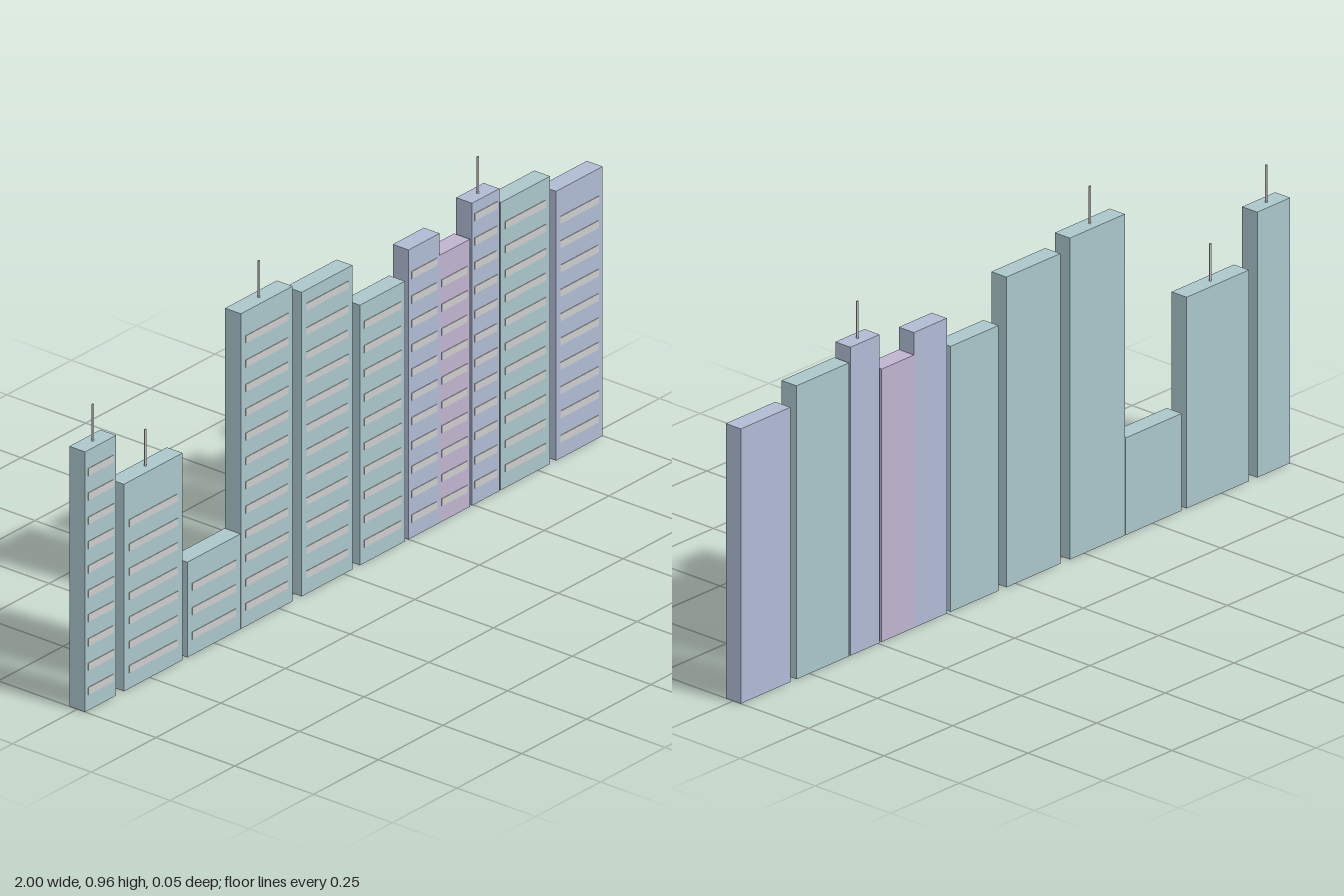
import * as THREE from 'three';

const TEAL = 0xaac6ca, BLUE = 0xb0bbd4, MAUVE = 0xbfb4d0;
const DEPTH = 0.05, FLOOR = 0.0664;

// left edge, right edge, height, window rows, colour, has spire
const TOWERS = [
  [-1.0, -0.88, 0.71, 10, TEAL, true],
  [-0.85, -0.623, 0.565, 7, TEAL, true],
  [-0.605, -0.4, 0.26, 3, TEAL, false],
  [-0.398, -0.198, 0.86, 12, TEAL, true],
  [-0.163, 0.033, 0.83, 12, TEAL, false],
  [0.062, 0.236, 0.71, 10, TEAL, false],
  [0.25, 0.37, 0.79, 11, BLUE, false],
  [0.367, 0.487, 0.73, 10, MAUVE, false],
  [0.495, 0.601, 0.825, 12, BLUE, true],
  [0.606, 0.797, 0.785, 11, TEAL, false],
  [0.82, 1.0, 0.735, 10, BLUE, false],
];

export function createModel() {
  const model = new THREE.Group();
  model.name = 'skyline';
  const grey = new THREE.MeshStandardMaterial({ color: 0xcccccc });
  const walls = {};
  for (const c of [TEAL, BLUE, MAUVE]) walls[c] = new THREE.MeshStandardMaterial({ color: c });

  const add = (parent, name, geometry, material, x, y, z) => {
    const mesh = new THREE.Mesh(geometry, material);
    mesh.name = name;
    mesh.position.set(x, y, z);
    parent.add(mesh);
  };

  for (const [left, right, height, rows, color, spire] of TOWERS) {
    const tower = new THREE.Group();
    tower.name = 'tower';
    tower.position.x = (left + right) / 2;
    const width = right - left;

    // Slab body
    add(tower, 'towerBody', new THREE.BoxGeometry(width, height, DEPTH), walls[color], 0, height / 2, 0);

    // Window bands on the front face
    const band = new THREE.BoxGeometry(width * 0.82, 0.02, 0.003);
    for (let i = 0; i < rows; i++) {
      add(tower, 'windowBand', band, grey, 0, 0.053 + i * FLOOR, DEPTH / 2);
    }

    // Roof spire
    if (spire) {
      add(tower, 'spire', new THREE.CylinderGeometry(0.003, 0.003, 0.1, 8), grey, 0, height + 0.05, 0);
    }
    model.add(tower);
  }
  return model;
}
